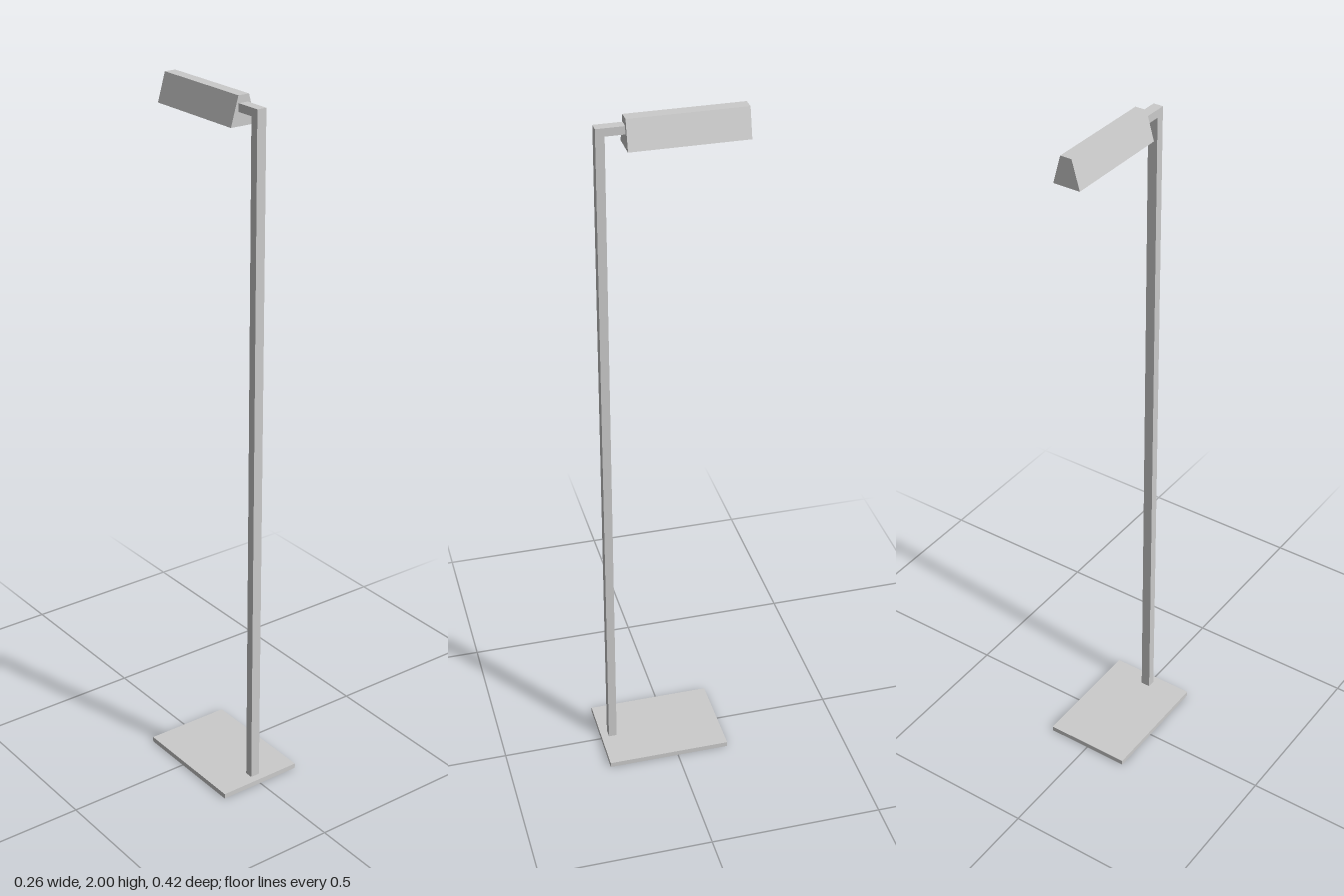
import * as THREE from 'three';

export function createModel() {
  const model = new THREE.Group();
  const material = new THREE.MeshStandardMaterial({ color: 0xcccccc, flatShading: true });

  const add = (name, geometry) => {
    const mesh = new THREE.Mesh(geometry, material);
    mesh.name = name;
    model.add(mesh);
    return mesh;
  };

  // Box given by its extents on each axis
  const addBox = (name, [x0, x1], [y0, y1], [z0, z1]) =>
    add(name, new THREE.BoxGeometry(x1 - x0, y1 - y0, z1 - z0))
      .position.set((x0 + x1) / 2, (y0 + y1) / 2, (z0 + z1) / 2);

  // Flat foot, slim upright and short arm reaching back to the lamp head
  const stem = [-0.016, 0.012];
  addBox('base', [-0.128, 0.128], [0, 0.015], [-0.153, 0.207]);
  addBox('post', stem, [0.015, 1.98], [0.161, 0.185]);
  addBox('arm', stem, [1.958, 1.98], [0.109, 0.161]);

  // Lamp head: trapezoid section drawn along z
  const section = new THREE.Shape([
    new THREE.Vector2(-0.04, 1.921),
    new THREE.Vector2(0.038, 1.921),
    new THREE.Vector2(0.016, 2),
    new THREE.Vector2(-0.017, 2),
  ]);
  add('lampShade', new THREE.ExtrudeGeometry(section, { depth: 0.318, bevelEnabled: false }))
    .position.z = -0.209;

  return model;
}
